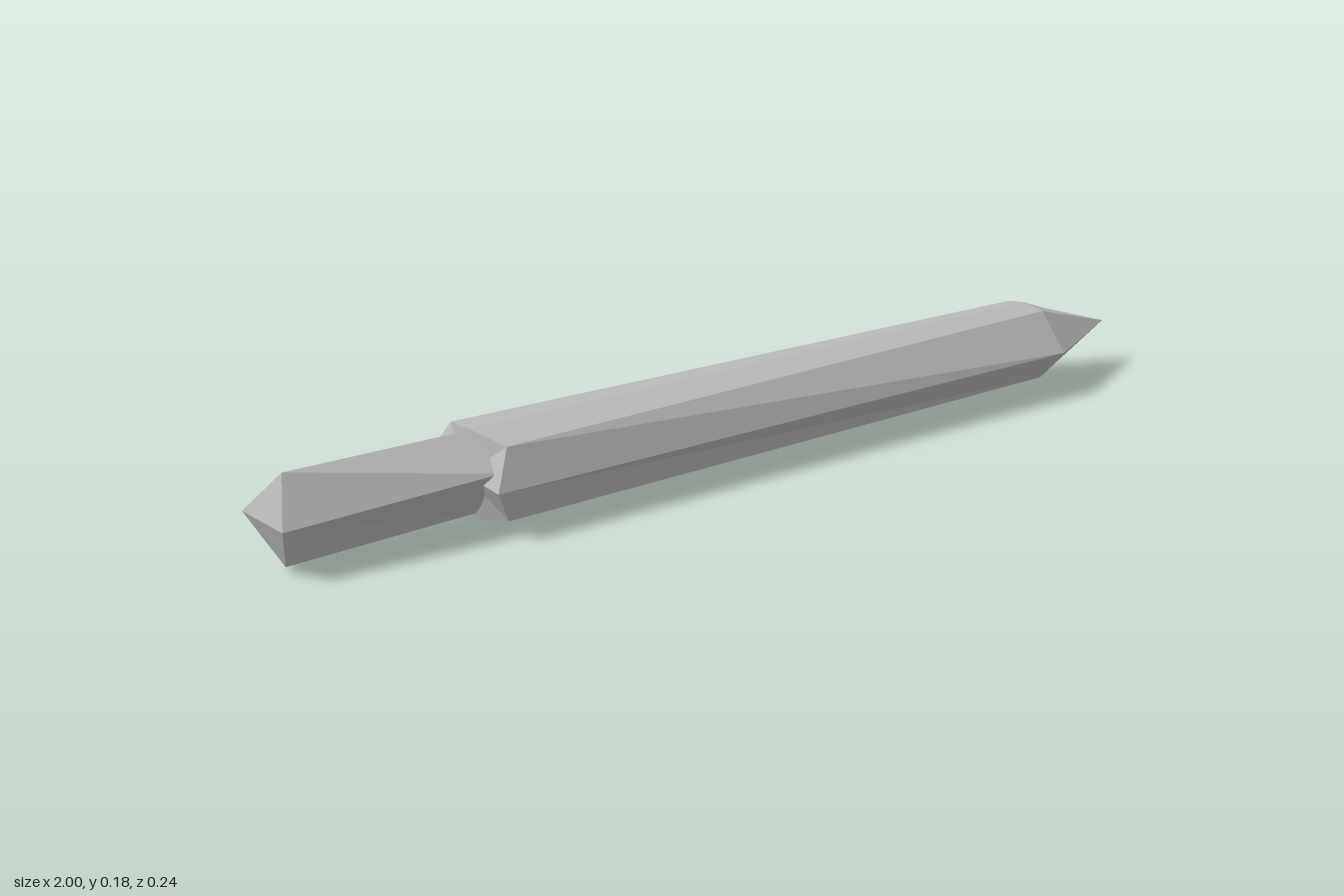
import * as THREE from 'three';

// Joins rings of [x, y, z] points, listed from the rear (-x) to the front (+x).
function loft(rings, material, name) {
  const pos = [];
  const tri = (a, b, c) => {
    const same = (p, q) => p.every((v, i) => v === q[i]);
    if (!same(a, b) && !same(b, c) && !same(c, a)) pos.push(...a, ...b, ...c);
  };
  for (let k = 0; k < rings.length - 1; k++) {
    const a = rings[k], b = rings[k + 1], n = a.length;
    for (let i = 0; i < n; i++) {
      const j = (i + 1) % n;
      tri(a[i], b[i], a[j]);
      tri(b[i], b[j], a[j]);
    }
  }
  const geo = new THREE.BufferGeometry();
  geo.setAttribute('position', new THREE.Float32BufferAttribute(pos, 3));
  geo.computeVertexNormals();
  const mesh = new THREE.Mesh(geo, material);
  mesh.name = name;
  return mesh;
}

const point = (n, x, y, z) => Array.from({ length: n }, () => [x, y, z]);

// Eight-sided section, mirrored in z: side, upper corner, top, bottom, lower corner.
function octagon(side, upper, top, bottom, lower) {
  const flip = ([x, y, z]) => [x, y, -z];
  return [side, upper, top, flip(upper), flip(side), flip(lower), bottom, lower];
}

export function createModel() {
  const grey = new THREE.MeshStandardMaterial({ color: 0xb8b8b8, flatShading: true });
  grey.name = 'stone grey';
  const model = new THREE.Group();
  model.name = 'spike';

  // Long faceted body drawn out to a point
  model.add(loft([
    point(8, -0.6, 0.094, 0),
    octagon([-0.61, 0.092, 0.121], [-0.57, 0.163, 0.09], [-0.59, 0.177, 0], [-0.57, 0.001, 0], [-0.57, 0.025, 0.09]),
    octagon([0.77, 0.092, 0.116], [0.77, 0.166, 0.05], [0.765, 0.175, 0], [0.765, 0.014, 0], [0.77, 0.024, 0.05]),
    octagon([0.82, 0.093, 0.091], [0.82, 0.15, 0.039], [0.82, 0.154, 0], [0.82, 0.036, 0], [0.82, 0.04, 0.039]),
    point(8, 1, 0.095, 0),
  ], grey, 'body'));

  // Diamond-section handle with a ridged end, sunk into the body
  model.add(loft([
    point(4, -1, 0.095, -0.005),
    [[-1, 0.095, 0.065], [-0.967, 0.18, 0.012], [-1, 0.095, -0.074], [-0.967, 0.01, 0.008]],
    [[-0.58, 0.115, 0.087], [-0.58, 0.172, -0.005], [-0.58, 0.105, -0.088], [-0.58, 0.017, 0]],
    point(4, -0.56, 0.095, 0),
  ], grey, 'handle'));

  return model;
}
